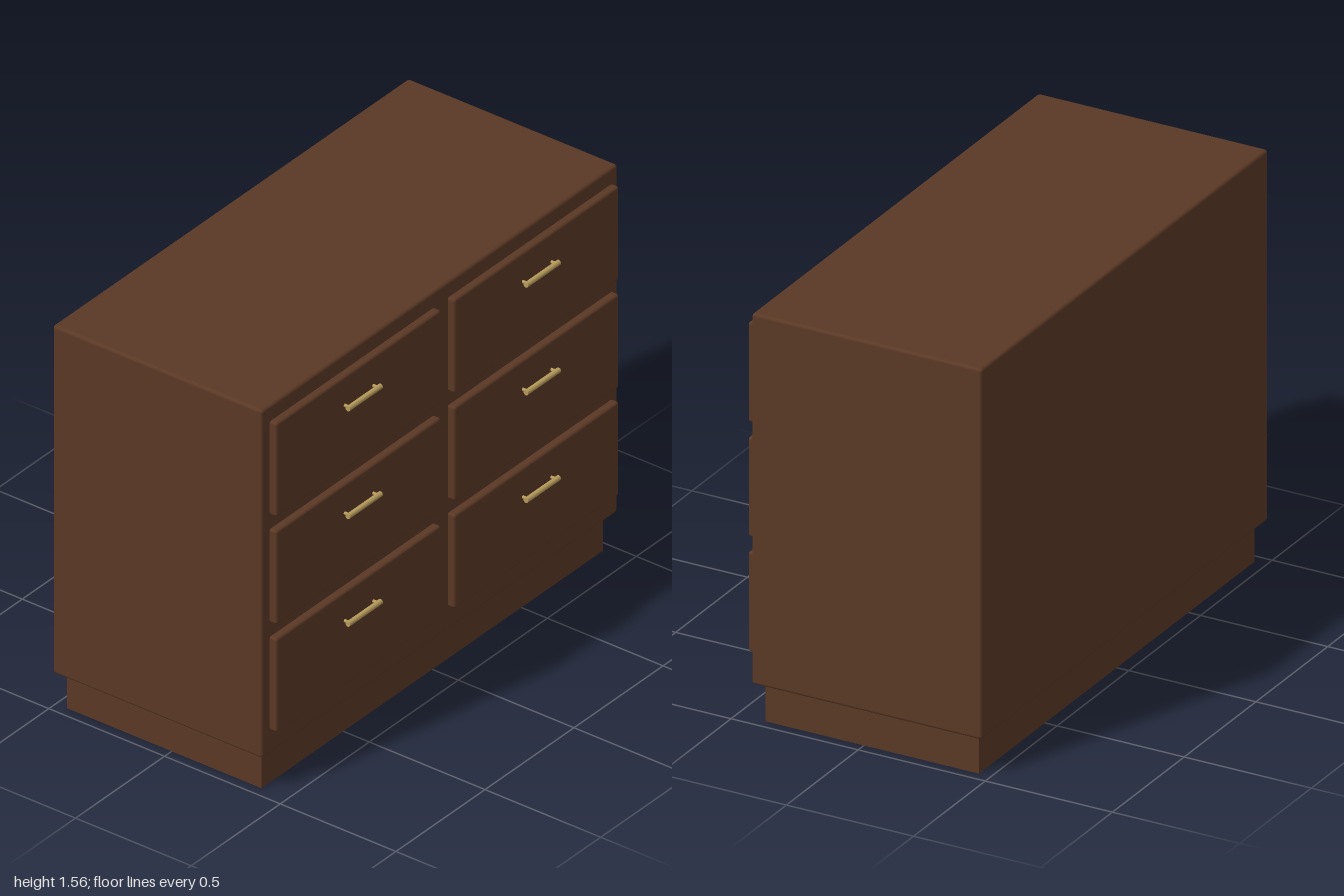
import * as THREE from 'three';
import { RoundedBoxGeometry } from 'three/addons/geometries/RoundedBoxGeometry.js';

export function createModel() {
  const model = new THREE.Group();
  model.name = 'chestOfDrawers';

  const wood = new THREE.MeshStandardMaterial({ color: 0x5a3825 });
  wood.name = 'dark walnut';
  const brass = new THREE.MeshStandardMaterial({ color: 0xb59a5a });
  brass.name = 'brass';

  const add = (parent, name, geometry, material, x, y, z) => {
    const mesh = new THREE.Mesh(geometry, material);
    mesh.name = name;
    mesh.position.set(x, y, z);
    parent.add(mesh);
    return mesh;
  };

  // Cabinet with softened edges on a recessed plinth
  add(model, 'cabinet', new RoundedBoxGeometry(2, 1.41, 0.905, 3, 0.012), wood, 0, 0.855, -0.0325);
  add(model, 'plinth', new THREE.BoxGeometry(1.92, 0.16, 0.84), wood, 0, 0.08, -0.0325);

  // Shared drawer and handle shapes
  const frontGeo = new RoundedBoxGeometry(0.925, 0.38, 0.035, 3, 0.01);
  const barGeo = new THREE.CylinderGeometry(0.01, 0.01, 0.185, 16).rotateZ(Math.PI / 2);
  const postGeo = new THREE.CylinderGeometry(0.006, 0.006, 0.03, 12).rotateX(Math.PI / 2);

  // Two columns of three drawers
  for (const side of [-1, 1]) {
    for (let row = 0; row < 3; row++) {
      const drawer = new THREE.Group();
      drawer.name = `${side > 0 ? 'left' : 'right'}Drawer${row + 1}`;
      drawer.position.set(side * 0.5, 0.44 + row * 0.4365, 0.438);
      add(drawer, 'drawerFront', frontGeo, wood, 0, 0, 0);

      // Bar pull on two posts
      const handle = new THREE.Group();
      handle.name = 'handle';
      handle.position.set(0, 0.075, 0);
      add(handle, 'handleBar', barGeo, brass, 0, 0, 0.04);
      for (const x of [-0.08, 0.08]) add(handle, 'handlePost', postGeo, brass, x, 0, 0.027);
      drawer.add(handle);
      model.add(drawer);
    }
  }
  return model;
}
